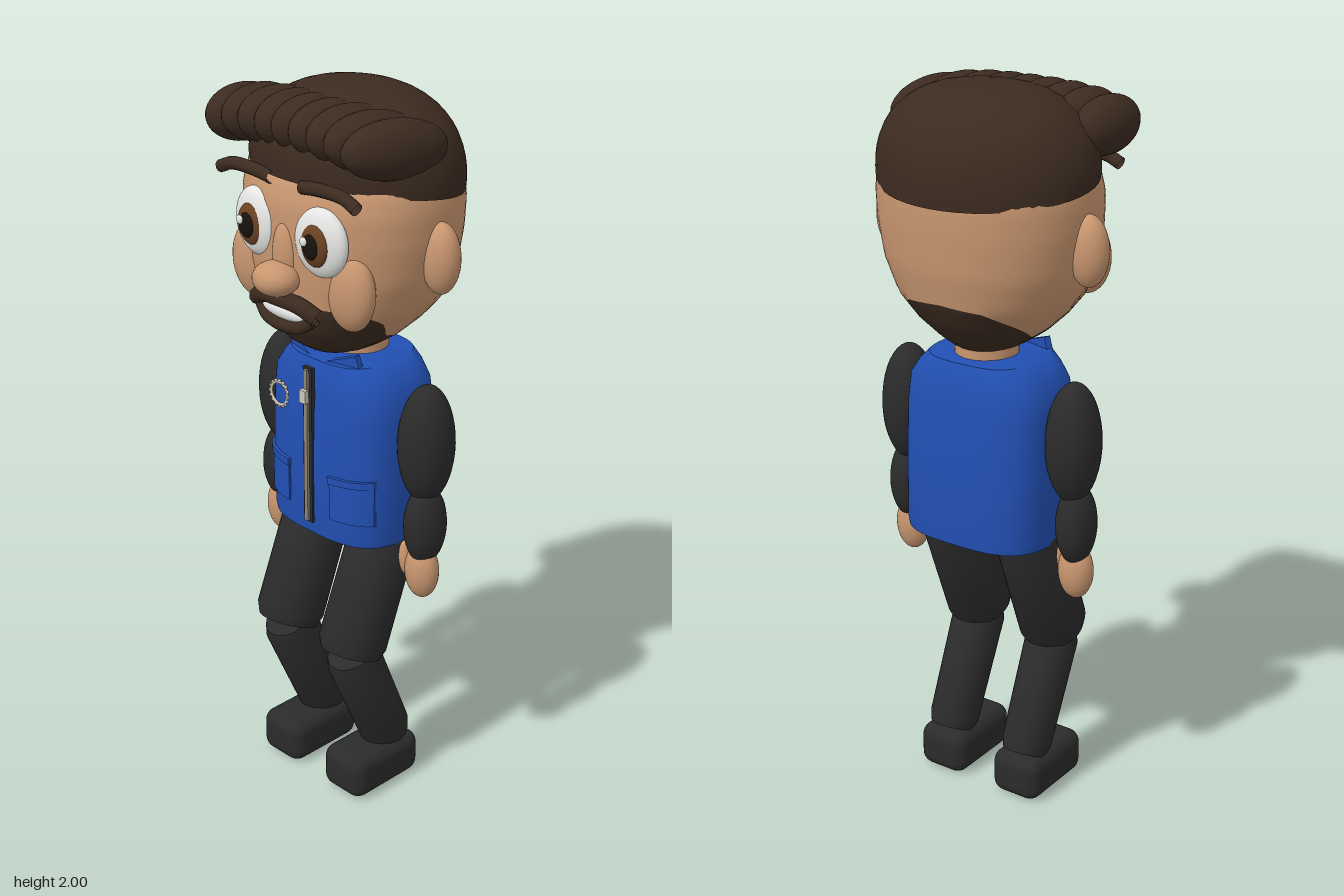
import * as THREE from 'three';
import { mergeVertices, toCreasedNormals } from 'three/addons/utils/BufferGeometryUtils.js';
import { RoundedBoxGeometry } from 'three/addons/geometries/RoundedBoxGeometry.js';

const material = (name, color) => {
  const m = new THREE.MeshStandardMaterial({ color, side: THREE.DoubleSide });
  m.name = name;
  return m;
};

// Closed surface from rings: fn(angle, row) gives [x, y, z]; angle 0 is the front
function ringSurface(fn, rows, steps = 48) {
  const pos = [], index = [];
  for (let v = 0; v < rows; v++)
    for (let u = 0; u < steps; u++) pos.push(...fn((u / steps) * Math.PI * 2, v));
  for (let v = 0; v < rows - 1; v++)
    for (let u = 0; u < steps; u++) {
      const a = v * steps + u, b = v * steps + ((u + 1) % steps);
      index.push(a, b, b + steps, a, b + steps, a + steps);
    }
  const g = new THREE.BufferGeometry();
  g.setAttribute('position', new THREE.Float32BufferAttribute(pos, 3));
  g.setIndex(index);
  return toCreasedNormals(mergeVertices(g), 0.75);
}

// Superellipse ring from [y, halfWidth, zFront, zBack]
const power = (c, n) => Math.sign(c) * Math.abs(c) ** (2 / n);
const ringPoint = ([y, rx, zf, zb], a, n) =>
  [rx * power(Math.sin(a), n), y, (zf + zb) / 2 + ((zf - zb) / 2) * power(Math.cos(a), n)];

// Linear lookup in a table whose first column is the key
function lookup(table, key) {
  let i = 0;
  while (i < table.length - 2 && key > table[i + 1][0]) i++;
  const a = table[i], b = table[i + 1];
  const t = THREE.MathUtils.clamp((key - a[0]) / (b[0] - a[0]), 0, 1);
  return a.map((q, k) => q + (b[k] - q) * t);
}

const HEAD = [
  [1.3, 0.04, 0.06, -0.09], [1.32, 0.09, 0.115, -0.135], [1.35, 0.135, 0.16, -0.17],
  [1.4, 0.19, 0.192, -0.215], [1.46, 0.242, 0.208, -0.248], [1.55, 0.28, 0.215, -0.267],
  [1.65, 0.297, 0.216, -0.275], [1.73, 0.3, 0.213, -0.277], [1.79, 0.29, 0.195, -0.268],
  [1.86, 0.24, 0.13, -0.22], [1.93, 0.05, 0, -0.08],
];
const BEARD_EDGE = [[0, 1.48], [0.8, 1.48], [1.2, 1.44], [1.45, 1.38], [1.75, 1.355], [2.2, 1.41], [2.7, 1.46], [3.15, 1.47]];
const TORSO = [
  [0.79, 0, -0.03, -0.04], [0.79, 0.212, 0.127, -0.2], [0.81, 0.216, 0.13, -0.202], [1, 0.216, 0.132, -0.2],
  [1.15, 0.214, 0.128, -0.193], [1.22, 0.207, 0.123, -0.185], [1.26, 0.18, 0.117, -0.177],
  [1.29, 0.15, 0.108, -0.165], [1.3, 0, -0.02, -0.03],
];

export function createModel() {
  const model = new THREE.Group();
  model.name = 'figure';
  const skin = material('skin', 0xc8966f), hair = material('dark brown hair', 0x3c2b20);
  const blue = material('blue vest', 0x2250b4), black = material('black cloth', 0x2b2b2b);
  const white = material('white', 0xe6e6e4), brown = material('brown iris', 0x6b4223);
  const dark = material('pupil', 0x17130f), metal = material('zip metal', 0x8c857a);
  const pale = material('pale trim', 0xcfc8b8);

  const add = (name, geo, mat, x = 0, y = 0, z = 0) => {
    const m = new THREE.Mesh(geo, mat);
    m.name = name;
    m.position.set(x, y, z);
    model.add(m);
    return m;
  };
  const ball = (name, mat, [x, y, z], [rx, ry, rz]) =>
    add(name, new THREE.SphereGeometry(1, 32, 20).scale(rx, ry, rz), mat, x, y, z);
  const tube = (name, mat, pts, r) => add(name, new THREE.TubeGeometry(
    new THREE.CatmullRomCurve3(pts.map((p) => new THREE.Vector3(...p))), 20, r, 10), mat);

  // Head, split along the beard line
  const edge = (a) => lookup(BEARD_EDGE, Math.min(a, Math.PI * 2 - a))[1];
  const headPart = (from, to) => ringSurface((a, v) =>
    ringPoint(lookup(HEAD, THREE.MathUtils.lerp(from(a), to(a), v / 20)), a, 2.25), 21, 72);
  add('face', headPart(edge, () => 1.93), skin);
  add('beard', headPart(() => 1.3, edge), hair);
  add('neck', new THREE.CylinderGeometry(0.085, 0.085, 0.12, 32), skin, 0, 1.3, -0.045);

  // Hair cap with a sloping hairline
  add('hairCap', ringSurface((a, v) => {
    const phi = (Math.max(v - 1, 0) / 14) * Math.PI / 2;
    const r = (v === 0 ? 0.85 : Math.max(Math.cos(phi), 0) ** 0.72) * (1 + 0.05 * Math.sin(2 * phi));
    const x = 0.302 * r * Math.sin(a), z = -0.042 + 0.244 * r * Math.cos(a);
    const base = 1.765 + 0.14 * z;
    return [x, base + (1.998 - base) * Math.sin(phi), z];
  }, 16), hair);

  // Swept quiff made of overlapping locks
  for (let i = 0; i < 9; i++) {
    const t = i / 4 - 1, side = Math.abs(t) ** 3;
    const rz = 0.115 + 0.035 * Math.max(t, 0) ** 2;
    const lock = ball('quiffLock', hair, [0.25 * t - 0.01, 1.915 - 0.02 * side, 0.218 - rz], [0.062, 0.075, rz]);
    lock.rotation.set(-0.06, -0.15 - 0.06 * t, 0);
  }

  // Face details, mirrored
  for (const s of [-1, 1]) {
    ball('ear', skin, [s * 0.303, 1.61, -0.035], [0.054, 0.094, 0.046]);
    ball('cheek', skin, [s * 0.175, 1.535, 0.15], [0.075, 0.103, 0.046]);
    const ex = s * 0.116;
    ball('eyeWhite', white, [ex, 1.66, 0.193], [0.082, 0.09, 0.033]).rotation.y = s * 0.1;
    ball('iris', brown, [ex, 1.657, 0.216], [0.045, 0.055, 0.02]);
    ball('pupil', dark, [ex, 1.657, 0.227], [0.027, 0.034, 0.018]);
    ball('eyeGlint', white, [ex - 0.011, 1.672, 0.245], [0.011, 0.012, 0.006]);
    tube('eyebrow', hair, [[s * 0.245, 1.775, 0.2], [s * 0.2, 1.793, 0.2], [s * 0.12, 1.795, 0.2], [s * 0.055, 1.788, 0.2]], 0.017);
  }
  ball('noseBridge', skin, [0, 1.6, 0.205], [0.04, 0.09, 0.03]);
  ball('noseTip', skin, [0, 1.548, 0.24], [0.064, 0.045, 0.058]);

  // Mouth
  tube('moustache', hair, [[-0.11, 1.462, 0.205], [-0.065, 1.487, 0.222], [0, 1.492, 0.228], [0.065, 1.487, 0.222], [0.11, 1.462, 0.205]], 0.023);
  ball('teeth', white, [0, 1.453, 0.205], [0.088, 0.024, 0.024]);
  tube('lowerLip', hair, [[-0.1, 1.455, 0.203], [-0.06, 1.426, 0.215], [0, 1.418, 0.22], [0.06, 1.426, 0.215], [0.1, 1.455, 0.203]], 0.017);

  // Vest
  add('vest', ringSurface((a, v) => ringPoint(TORSO[v], a, 3), TORSO.length, 64), blue);
  const frontZ = (x) => -0.035 + 0.165 * (1 - Math.abs(x / 0.216) ** 3) ** (1 / 3);
  const curvedPlate = (w, h, d, x, y, tilt) => {
    const g = new THREE.BoxGeometry(w, h, d, 10, 1, 1).rotateZ(tilt).translate(x, y, 0);
    const p = g.attributes.position;
    for (let i = 0; i < p.count; i++) p.setZ(i, p.getZ(i) + frontZ(p.getX(i)));
    g.computeVertexNormals();
    return g;
  };
  for (const s of [-1, 1]) {
    add('pocket', curvedPlate(0.116, 0.115, 0.014, s * 0.135, 0.917, 0), blue);
    add('pocketFlap', curvedPlate(0.12, 0.02, 0.024, s * 0.135, 0.978, s * 0.04), blue);
    const wing = new THREE.Shape([[0.01, 1.285], [0.115, 1.322], [0.135, 1.262], [0.07, 1.248]].map(([x, y]) => new THREE.Vector2(s * x, y)));
    const collar = add('collarWing', new THREE.ExtrudeGeometry(wing, { depth: 0.02, bevelEnabled: false }), blue, 0, 0, 0.085);
    collar.rotation.y = s * 0.25;
  }
  add('zipTape', new THREE.BoxGeometry(0.032, 0.45, 0.012), black, 0, 1.05, 0.131);
  add('zipTeeth', new THREE.BoxGeometry(0.013, 0.44, 0.01), metal, 0, 1.05, 0.14);
  add('zipPull', new THREE.BoxGeometry(0.022, 0.036, 0.014), pale, 0, 1.197, 0.149);

  // Chest badge: beaded ring
  add('badgeRing', new THREE.TorusGeometry(0.032, 0.004, 8, 32), pale, -0.125, 1.157, 0.121);
  for (let i = 0; i < 16; i++) {
    const a = (i / 16) * Math.PI * 2;
    add('badgeBead', new THREE.SphereGeometry(0.005, 8, 6), pale, -0.125 + 0.036 * Math.cos(a), 1.157 + 0.036 * Math.sin(a), 0.121);
  }

  // Limb segment with softened ends between two [y, z] points
  const limb = (name, x, top, bottom, rt, rb, depth) => {
    const dy = top[0] - bottom[0], dz = top[1] - bottom[1], h = Math.hypot(dy, dz) / 2;
    const pts = [[0, -h], [rb * 0.88, -h], [rb, -h + 0.03], [rt, h - 0.03], [rt * 0.88, h], [0, h]];
    const g = new THREE.LatheGeometry(pts.map((p) => new THREE.Vector2(...p)), 32).scale(1, 1, depth);
    const m = add(name, toCreasedNormals(g, 0.6), black, x, (top[0] + bottom[0]) / 2, (top[1] + bottom[1]) / 2);
    m.rotation.x = Math.atan2(dz, dy);
  };

  // Arms and legs, mirrored
  for (const s of [-1, 1]) {
    ball('upperArm', black, [s * 0.267, 1.09, -0.035], [0.073, 0.167, 0.08]);
    ball('forearm', black, [s * 0.275, 0.86, -0.028], [0.053, 0.115, 0.063]);
    ball('hand', skin, [s * 0.272, 0.722, -0.022], [0.05, 0.08, 0.042]);
    ball('thumb', skin, [s * 0.223, 0.745, -0.01], [0.017, 0.05, 0.02]).rotation.z = s * 0.1;
    limb('thigh', s * 0.125, [0.84, -0.05], [0.455, 0.102], 0.09, 0.092, 1.08);
    limb('shin', s * 0.126, [0.455, 0.1], [0.125, -0.045], 0.072, 0.068, 1.1);
    add('shoe', new RoundedBoxGeometry(0.152, 0.13, 0.255, 4, 0.038), black, s * 0.126, 0.066, 0.018);
  }
  return model;
}
